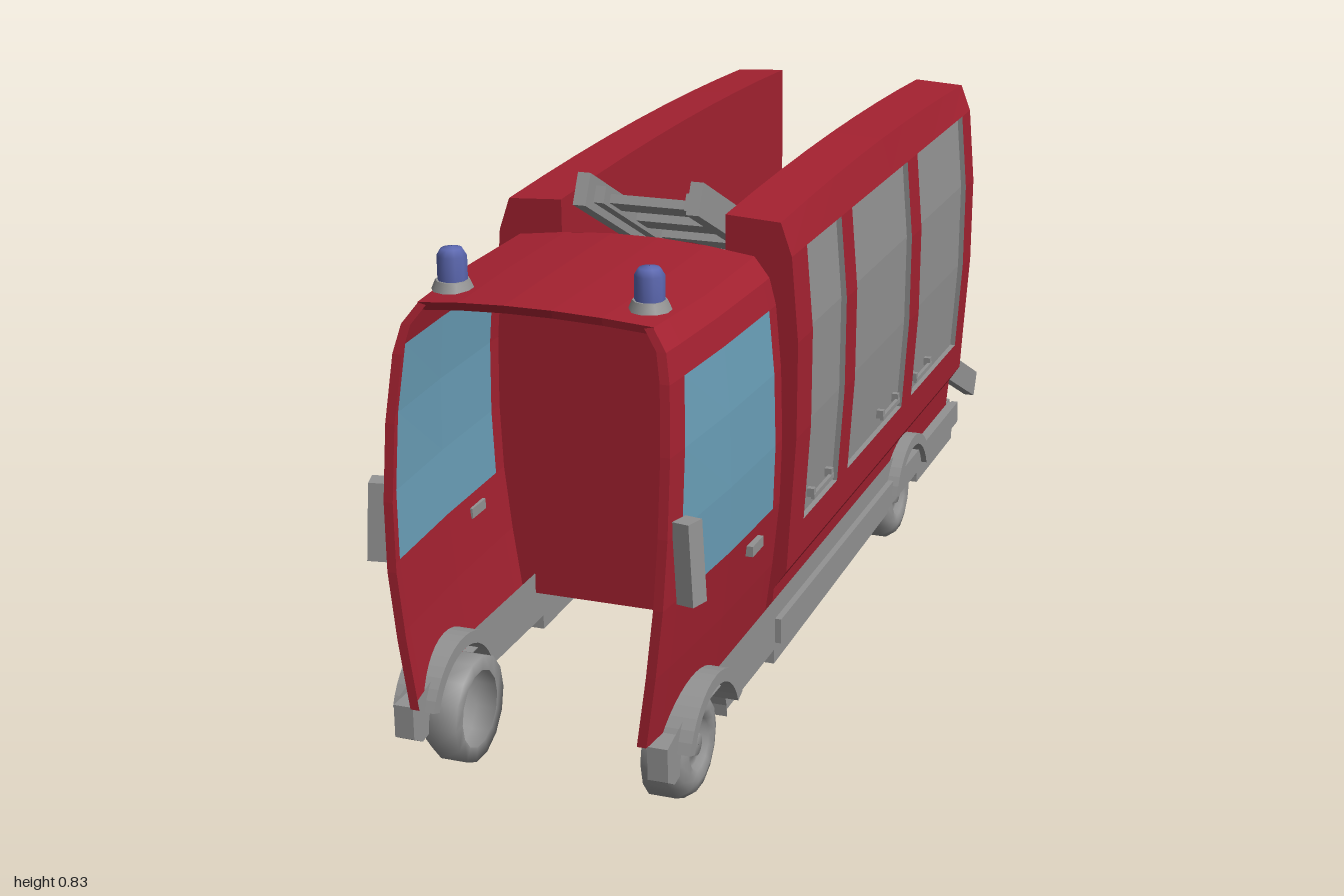
import * as THREE from 'three';

const mat = (name, color) => {
  const m = new THREE.MeshStandardMaterial({ color, side: THREE.DoubleSide });
  m.name = name;
  return m;
};

export function createModel() {
  const red = mat('red paint', 0xa32130);
  const grey = mat('grey metal', 0x929292);
  const glass = mat('window glass', 0x6a9fb8);
  const blue = mat('beacon blue', 0x5a66ae);
  const model = new THREE.Group();
  model.name = 'fireEngine';

  const add = (parent, name, geo, material, x = 0, y = 0, z = 0) => {
    const mesh = new THREE.Mesh(geo, material);
    mesh.name = name;
    mesh.position.set(x, y, z);
    parent.add(mesh);
    return mesh;
  };
  const box = (parent, name, material, w, h, d, x, y, z) =>
    add(parent, name, new THREE.BoxGeometry(w, h, d), material, x, y, z);

  // Faceted surface through rows of [x, y, z] points
  const surface = rows => {
    const pos = [];
    for (let i = 0; i + 1 < rows.length; i++) {
      for (let j = 0; j + 1 < rows[i].length; j++) {
        const [a, b, c, d] = [rows[i][j], rows[i][j + 1], rows[i + 1][j + 1], rows[i + 1][j]];
        pos.push(...a, ...c, ...b, ...a, ...d, ...c);
      }
    }
    const g = new THREE.BufferGeometry();
    g.setAttribute('position', new THREE.Float32BufferAttribute(pos, 3));
    g.computeVertexNormals();
    return g;
  };
  // Side outline in (z, y), extruded inwards from x
  const plate = (parent, name, material, shape, x, depth) => {
    const g = new THREE.ExtrudeGeometry(shape, { depth, bevelEnabled: false, curveSegments: 8 });
    g.rotateY(-Math.PI / 2);
    return add(parent, name, g, material, x);
  };

  const wheelZ = [0.855, -0.16], wheelY = 0.093;

  const buildSide = () => {
    const side = new THREE.Group();

    // Equipment box: cross-section from outer sill over the top to the inner wall
    const prof = [[0.2, 0.155], [0.205, 0.205], [0.225, 0.235], [0.229, 0.295], [0.24, 0.45],
      [0.242, 0.6], [0.232, 0.73], [0.215, 0.783], [0.13, 0.788], [0.13, 0.24]];
    const zF = 0.545, zR = -0.48;
    const at = ([x, y], z, inset = 0) => [x - inset,
      y > 0.75 ? y + 0.007 - 0.014 * ((z - 0.08) / 0.55) ** 2 : y, z];
    const steps = (a, b, n) => Array.from({ length: n + 1 }, (_, i) => a + (b - a) * i / n);
    const skin = (name, from, to, a, b, n = 1) => add(side, name,
      surface(steps(a, b, n).map(z => prof.slice(from, to + 1).map(p => at(p, z)))), red);
    skin('lowerBodyPanel', 0, 3, zF, zR);
    skin('upperBodyPanel', 6, 9, zF, zR, 8);
    for (const [a, b] of [[zF, 0.475], [0.305, 0.25], [-0.065, -0.125], [-0.425, zR]]) skin('bodyPillar', 3, 6, a, b);
    for (const z of [zF, zR]) {
      const shape = new THREE.Shape(prof.map(p => new THREE.Vector2(...at(p, z))));
      add(side, 'boxEndPanel', new THREE.ShapeGeometry(shape), red, 0, 0, z);
    }

    // Recessed roller shutters with pull handles
    for (const [a, b, h] of [[0.475, 0.305, 0.39], [0.25, -0.065, 0.015], [-0.125, -0.425, -0.19]]) {
      const p = prof.slice(3, 7);
      const column = (z, inset) => [at(p[0], z), ...p.map(q => at(q, z, inset)), at(p[3], z)];
      add(side, 'shutter', surface([column(a, 0), column(a, 0.009), column(b, 0.009), column(b, 0)]), grey);
      box(side, 'shutterHandle', grey, 0.006, 0.008, 0.1, 0.232, 0.318, h);
      for (const e of [-0.045, 0.045]) box(side, 'handleMount', grey, 0.012, 0.014, 0.01, 0.228, 0.324, h + e);
    }

    // Cab side: widths by height, narrowing towards the open front
    const cabRows = [[0.198, 0.155, 1], [0.213, 0.26, 1], [0.224, 0.36, 0.998], [0.228, 0.46, 0.99],
      [0.226, 0.57, 0.975], [0.218, 0.665, 0.957], [0.208, 0.705, 0.945], [0.185, 0.735, 0.935]];
    const cabPoint = ([w, y, zf], z, inset = 0) => {
      const t = Math.max(0, (z - 0.575) / 0.425);
      return [w - 0.02 * t * t - inset, y, Math.min(z, zf)];
    };
    const cabSkin = (name, material, from, to, cols) => add(side, name,
      surface(cabRows.slice(from, to + 1).map(r => cols(r[2]).map(c => cabPoint(r, c)))), material);
    const full = zf => [0.575, 0.605, 0.78, zf - 0.045, zf];
    cabSkin('cabLowerDoor', red, 0, 2, full);
    cabSkin('cabRearPost', red, 2, 5, () => [0.575, 0.605]);
    cabSkin('cabSideWindow', glass, 2, 5, zf => [0.605, 0.78, zf - 0.045]);
    cabSkin('cabFrontPost', red, 2, 5, zf => [zf - 0.045, zf]);
    cabSkin('cabUpperSide', red, 5, 7, full);
    add(side, 'cabFrontEdge', surface(cabRows.map(r => [cabPoint(r, r[2]), cabPoint(r, r[2], 0.014)])), red);
    box(side, 'doorHandle', grey, 0.014, 0.016, 0.045, 0.222, 0.333, 0.685);
    const mirror = box(side, 'mirror', grey, 0.028, 0.117, 0.03, 0.23, 0.423, 0.965);
    mirror.rotation.set(0, -0.3, 0.06);

    // Skirt with wheel cutouts
    const skirt = new THREE.Shape();
    skirt.moveTo(0.995, 0.155);
    skirt.lineTo(-0.5, 0.155);
    skirt.lineTo(-0.5, 0.082);
    const arch = z => {
      skirt.lineTo(z - 0.095, 0.082);
      skirt.absarc(z, wheelY, 0.095, Math.PI, 0, true);
    };
    arch(wheelZ[1]);
    skirt.lineTo(0.55, 0.082);
    skirt.lineTo(0.55, 0.105);
    skirt.lineTo(wheelZ[0] - 0.095, 0.105);
    skirt.absarc(wheelZ[0], wheelY, 0.095, Math.PI, 0, true);
    skirt.lineTo(0.97, 0.09);
    skirt.lineTo(0.995, 0.105);
    plate(side, 'skirt', grey, skirt, 0.207, 0.03);
    box(side, 'sideStep', grey, 0.012, 0.04, 1.05, 0.211, 0.135, 0.02);

    wheelZ.forEach((z, i) => {
      // Flared fender
      const f = new THREE.Shape();
      f.absarc(z, wheelY, 0.113, 0.35, Math.PI - 0.35, false);
      f.absarc(z, wheelY, 0.094, Math.PI - 0.35, 0.35, true);
      plate(side, i ? 'rearFender' : 'frontFender', grey, f, 0.227, 0.065);
      // Dished wheel, open on the inside
      const pts = [[0.001, 0.198], [0.016, 0.198], [0.018, 0.19], [0.034, 0.19], [0.038, 0.2], [0.052, 0.204],
        [0.068, 0.2], [0.08, 0.183], [0.08, 0.142], [0.058, 0.142]].map(p => new THREE.Vector2(...p));
      const wheel = new THREE.LatheGeometry(pts, 14).rotateZ(-Math.PI / 2);
      add(side, i ? 'rearWheel' : 'frontWheel', wheel, grey, 0, wheelY, z);
    });

    // Roof beacon
    add(side, 'beaconBase', new THREE.CylinderGeometry(0.024, 0.03, 0.014, 10), grey, 0.145, 0.748, 0.88);
    const lamp = [[0.021, 0], [0.021, 0.035], [0.015, 0.045], [0.001, 0.048]].map(p => new THREE.Vector2(...p));
    add(side, 'beaconLamp', new THREE.LatheGeometry(lamp, 10), blue, 0.145, 0.754, 0.88);

    // Tail lamps
    const ring = [[0.001, 0.006], [0.018, 0.006], [0.021, 0.022], [0.029, 0.022], [0.031, 0]].map(p => new THREE.Vector2(...p));
    add(side, 'rearLamp', new THREE.LatheGeometry(ring, 12).rotateX(-Math.PI / 2), grey, 0.178, 0.28, -0.48);
    box(side, 'rearMarker', red, 0.05, 0.035, 0.02, 0.172, 0.19, -0.488);
    return side;
  };
  const leftSide = buildSide();
  leftSide.name = 'leftSide';
  const rightSide = buildSide();
  rightSide.name = 'rightSide';
  rightSide.scale.x = -1;
  model.add(leftSide, rightSide);

  // Cab roof with shallow crown and front lip
  const across = [-1, -0.6, -0.2, 0.2, 0.6, 1];
  const crown = u => 0.735 + 0.015 * (1 - u * u);
  const roofFront = u => 0.955 - 0.02 * u * u;
  add(model, 'cabRoof', surface(across.map(u => [
    [u * 0.185, crown(u), 0.575], [u * 0.185, crown(u), 0.78], [u * 0.172, crown(u), roofFront(u)],
    [u * 0.172, crown(u) - 0.012, roofFront(u) - 0.004]])), red);

  // Cab back wall
  const wall = new THREE.Shape();
  const half = [[0.198, 0.155], [0.213, 0.26], [0.224, 0.36], [0.228, 0.46], [0.226, 0.57], [0.218, 0.665],
    [0.208, 0.705], [0.185, 0.735], [0.09, 0.747]];
  wall.setFromPoints([...half, ...half.map(([x, y]) => [-x, y]).reverse()].map(p => new THREE.Vector2(...p)));
  add(model, 'cabBackWall', new THREE.ShapeGeometry(wall), red, 0, 0, 0.576);

  // Deck between the boxes, rear panel and bumper
  box(model, 'deck', grey, 0.26, 0.008, 1.02, 0, 0.24, 0.03);
  box(model, 'rearPanel', red, 0.38, 0.08, 0.01, 0, 0.198, -0.478);
  box(model, 'rearBumper', grey, 0.4, 0.05, 0.035, 0, 0.133, -0.49);
  box(model, 'bumperCore', grey, 0.36, 0.075, 0.02, 0, 0.119, -0.48);
  box(model, 'bumperPlate', grey, 0.145, 0.03, 0.008, 0, 0.118, -0.467);

  // Sloping ladder, wider at its foot
  const ladder = new THREE.Group();
  ladder.name = 'ladder';
  const rise = 0.785, run = 1.55, length = Math.hypot(rise, run);
  ladder.position.set(0, 0.024 + rise / 2, -0.988 + run / 2);
  ladder.rotation.x = -Math.atan2(rise, run);
  for (const s of [-1, 1]) {
    const rail = box(ladder, 'ladderRail', grey, 0.02, 0.05, length, s * 0.105, 0, 0);
    rail.rotation.y = -s * 0.0185;
    const flange = box(ladder, 'ladderInnerRail', grey, 0.018, 0.026, length - 0.06, s * 0.088, 0, 0);
    flange.rotation.y = -s * 0.0185;
  }
  for (let i = 0; i < 14; i++) {
    const t = -length / 2 + 0.07 + i * 0.122;
    box(ladder, 'ladderRung', grey, 2 * (0.088 - t * 0.0185), 0.014, 0.055, 0, 0, t);
  }
  model.add(ladder);
  return model;
}
